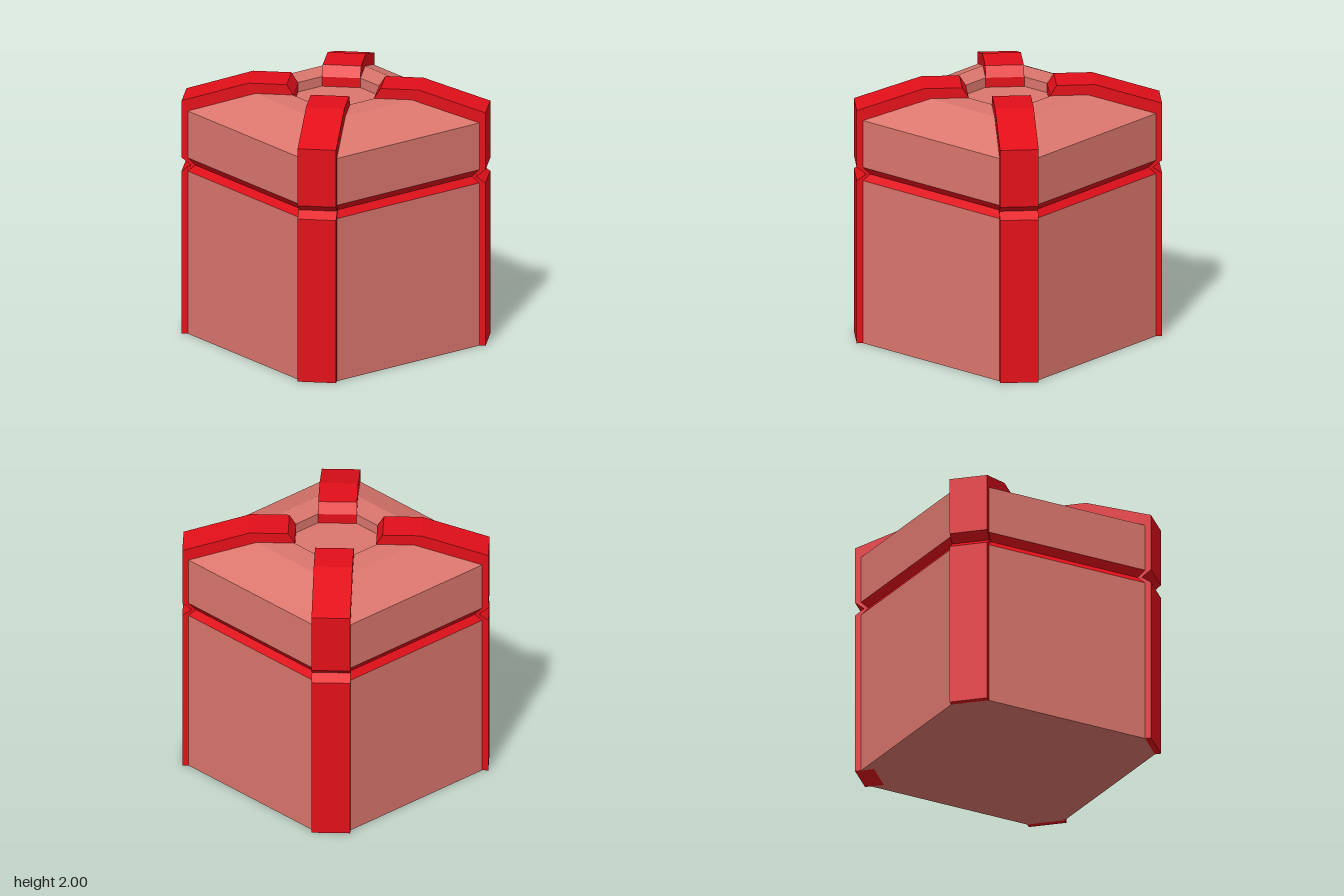
import * as THREE from 'three';

const red = new THREE.MeshStandardMaterial({ color: 0xe30f19, flatShading: true });
const pink = new THREE.MeshStandardMaterial({ color: 0xdc776e, flatShading: true });

// Square ring with chamfered corners, s = half width
function ring(s) {
  const c = Math.max(0, s - 0.205);
  return [[-c, s], [c, s], [s, c], [s, -c], [c, -s], [-c, -s], [-s, -c], [-s, c]];
}

// Skin over rings given as [half width, height]; half width 0 closes the end
function loft(levels) {
  const pos = [];
  for (let k = 0; k < levels.length - 1; k++) {
    const [s0, y0] = levels[k], [s1, y1] = levels[k + 1];
    const lower = ring(s0), upper = ring(s1);
    for (let i = 0; i < 8; i++) {
      const j = (i + 1) % 8;
      const a = [lower[i][0], y0, lower[i][1]], b = [lower[j][0], y0, lower[j][1]];
      const c = [upper[j][0], y1, upper[j][1]], d = [upper[i][0], y1, upper[i][1]];
      if (s0 > 0) pos.push(...a, ...b, ...c);
      if (s1 > 0) pos.push(...a, ...c, ...d);
    }
  }
  const geo = new THREE.BufferGeometry();
  geo.setAttribute('position', new THREE.Float32BufferAttribute(pos, 3));
  geo.computeVertexNormals();
  return geo;
}

export function createModel() {
  const group = new THREE.Group();
  const add = (name, geo, mat) => {
    const mesh = new THREE.Mesh(geo, mat);
    mesh.name = name;
    group.add(mesh);
    return mesh;
  };

  // Lower box, red groove, and lid with a recessed top
  add('boxBody', loft([[0, 0], [0.88, 0], [0.88, 1.285]]), pink);
  add('grooveBand', loft([[0.88, 1.285], [0.84, 1.335], [0.88, 1.39]]), red);
  add('lid', loft([[0.88, 1.39], [0.88, 1.76], [0.52, 1.92], [0.32, 1.92], [0.32, 1.845], [0, 1.845]]), pink);

  // Corner straps: one side profile (radius, height), repeated on four diagonals
  const profile = [
    [1.0, 0], [1.146, 0], [1.146, 1.285], [1.076, 1.335], [1.146, 1.39], [1.146, 1.84],
    [0.643, 2], [0.354, 2], [0.305, 1.92], [0.305, 1.845], [0.4, 1.8], [1.0, 1.65],
  ].map(([r, y]) => new THREE.Vector2(r, y));
  const strap = new THREE.ExtrudeGeometry(new THREE.Shape(profile), { depth: 0.29, bevelEnabled: false });
  strap.translate(0, 0, -0.145);
  for (let i = 0; i < 4; i++) {
    add('cornerStrap' + (i + 1), strap, red).rotation.y = Math.PI / 4 + i * Math.PI / 2;
  }
  return group;
}
